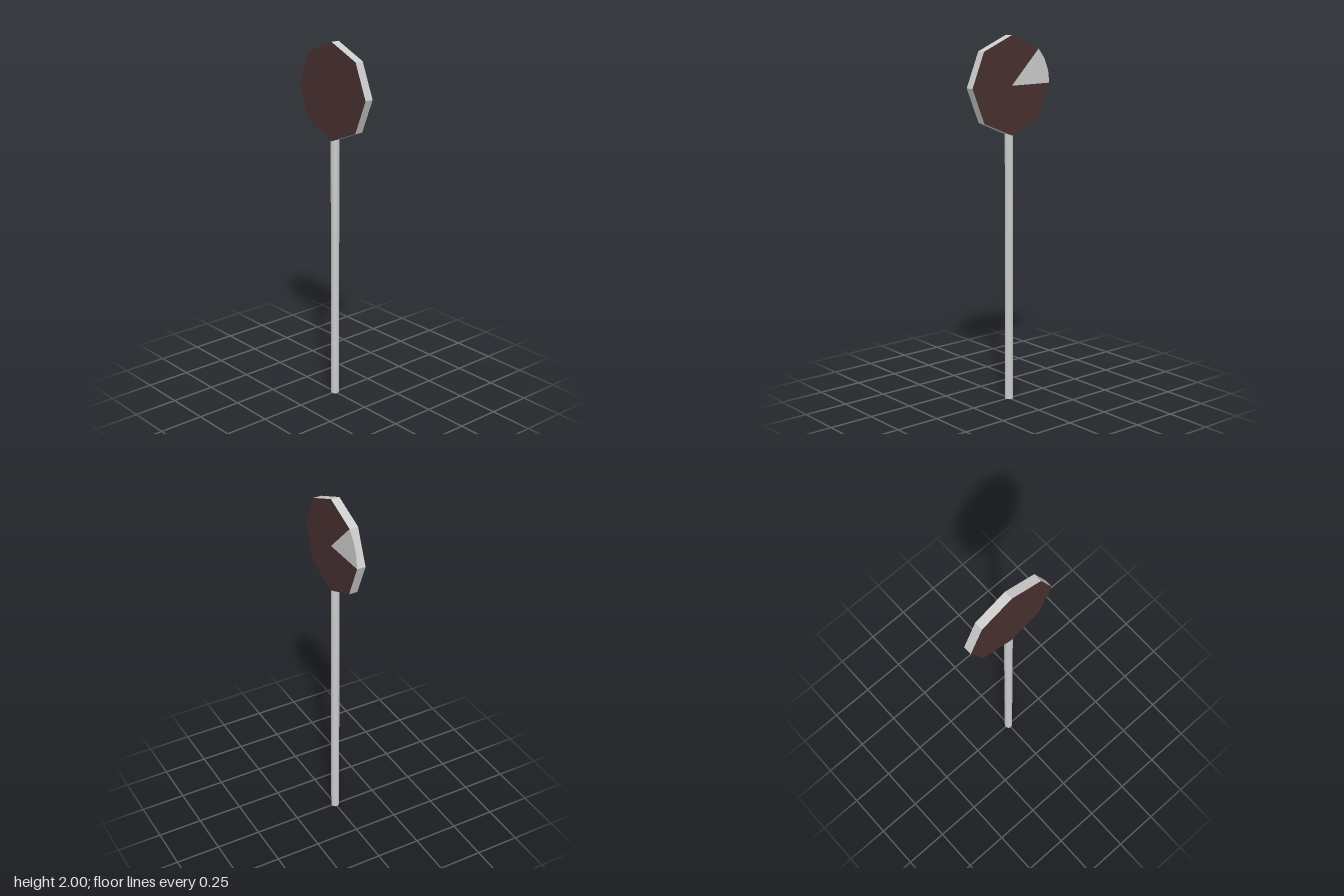
import * as THREE from 'three';

const RADIUS = 0.264, DEPTH = 0.048, CENTRE_Y = 1.736, SIDES = 8;

export function createModel() {
  const model = new THREE.Group();
  const grey = new THREE.MeshStandardMaterial({ color: 0xcccccc, flatShading: true });
  const dark = new THREE.MeshStandardMaterial({ color: 0x47302f, flatShading: true });

  const add = (parent, name, geometry, material) => {
    const mesh = new THREE.Mesh(geometry, material);
    mesh.name = name;
    parent.add(mesh);
    return mesh;
  };

  // Slim pole, ending just inside the lower corner of the sign
  const poleHeight = 1.48;
  add(model, 'pole', new THREE.CylinderGeometry(0.023, 0.023, poleHeight, 10), grey)
    .position.y = poleHeight / 2;

  // Octagonal sign: grey rim with dark faces
  const sign = new THREE.Group();
  sign.name = 'sign';
  sign.position.y = CENTRE_Y;
  model.add(sign);

  const rim = new THREE.CylinderGeometry(RADIUS, RADIUS, DEPTH, SIDES, 1, true);
  add(sign, 'signRim', rim.rotateX(Math.PI / 2), grey);

  const face = (name, start, length, segments, side, material) => {
    const mesh = add(sign, name, new THREE.CircleGeometry(RADIUS, segments, start, length), material);
    mesh.position.z = side * DEPTH / 2;
    if (side < 0) mesh.rotation.y = Math.PI;
  };
  const wedge = 2 * Math.PI / SIDES;
  face('signFront', 0, 2 * Math.PI, SIDES, 1, dark);

  // The back has one unpainted wedge
  face('signBack', wedge, 2 * Math.PI - wedge, SIDES - 1, -1, dark);
  face('signBackWedge', 0, wedge, 1, -1, grey);

  return model;
}
